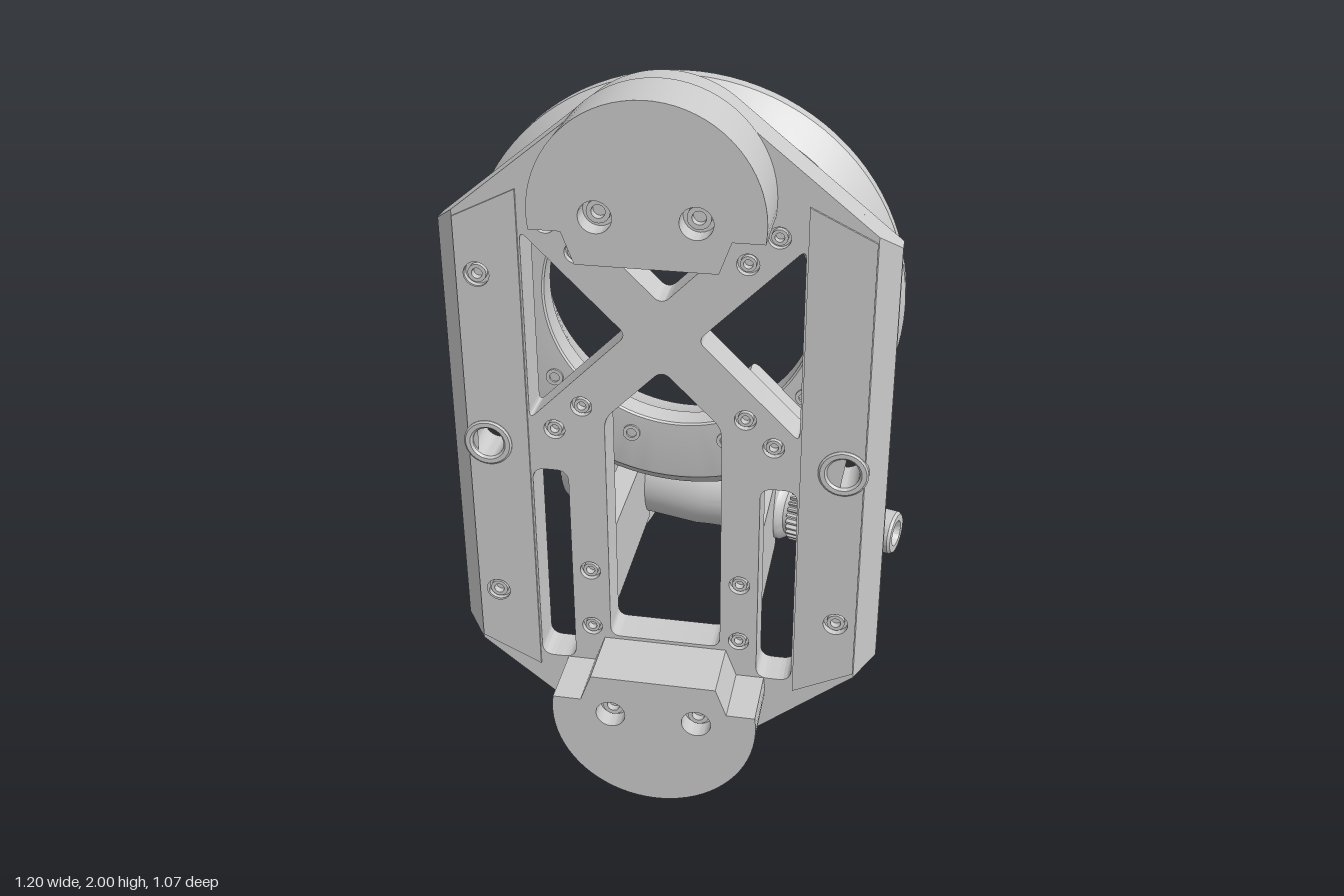
import * as THREE from 'three';
import { toCreasedNormals } from 'three/addons/utils/BufferGeometryUtils.js';

const mat = new THREE.MeshStandardMaterial({ color: 0xcccccc });
const MID = -0.018; // x of the frame's centre line

function add(parent, name, geo, x = 0, y = 0, z = 0) {
  const mesh = new THREE.Mesh(toCreasedNormals(geo, 0.5), mat);
  mesh.name = name;
  mesh.position.set(x, y, z);
  parent.add(mesh);
  return mesh;
}

// Extrude a shape from z0 to z1
function slab(shape, z0, z1) {
  return new THREE.ExtrudeGeometry(shape, { depth: z1 - z0, bevelEnabled: false, curveSegments: 20 }).translate(0, 0, z0);
}

const lathe = (pts, seg = 64) => new THREE.LatheGeometry(pts.map(p => new THREE.Vector2(...p)), seg);

const circle = (x, y, r) => new THREE.Path().absarc(x, y, r, 0, Math.PI * 2, true);

// Closed path with rounded corners
function roundedPath(points, r) {
  const path = new THREE.Path();
  const v = points.map(p => new THREE.Vector2(...p));
  v.forEach((p, i) => {
    const toward = q => q.clone().sub(p).setLength(r).add(p);
    const a = toward(v[(i + v.length - 1) % v.length]);
    const b = toward(v[(i + 1) % v.length]);
    if (i) path.lineTo(a.x, a.y); else path.moveTo(a.x, a.y);
    path.quadraticCurveTo(p.x, p.y, b.x, b.y);
  });
  path.closePath();
  return path;
}

// Socket-head screw whose top lies at z
function screw(parent, x, y, z, r) {
  const g = lathe([[0, -0.06], [r, -0.06], [r, -0.014], [r * 0.72, -0.014], [r * 0.72, 0],
    [r * 0.42, 0], [r * 0.42, -0.02], [0, -0.02]], 24);
  add(parent, 'screw', g.rotateX(Math.PI / 2), x, y, z);
}

const railScrews = [], spokeScrews = [];
for (const s of [-1, 1]) {
  for (const y of [-0.47, 0.48]) railScrews.push([s * 0.467, y]);
  for (const t of [-1, 1]) for (const d of [0.213, 0.287]) spokeScrews.push([s * d, 0.34 + t * d]);
  for (const y of [-0.38, -0.565]) spokeScrews.push([s * 0.205, y]);
}

function plateShape() {
  const a = 0.888, shape = new THREE.Shape();
  shape.moveTo(0.577, -0.6);
  shape.lineTo(0.577, 0.6);
  shape.absarc(0, 0.72, 0.27, a, Math.PI - a);
  shape.lineTo(-0.577, 0.6);
  shape.lineTo(-0.577, -0.6);
  shape.absarc(0, -0.72, 0.27, Math.PI + a, 2 * Math.PI - a);
  // openings between the crossed spokes and the legs
  shape.holes.push(
    roundedPath([[0, 0.43], [0.17, 0.6], [-0.17, 0.6]], 0.03),
    roundedPath([[0, 0.25], [-0.153, 0.097], [-0.153, -0.59], [0.153, -0.59], [0.153, 0.097]], 0.03));
  for (const s of [-1, 1]) {
    shape.holes.push(
      roundedPath([[s * 0.09, 0.34], [s * 0.352, 0.602], [s * 0.352, 0.078]], 0.025),
      roundedPath([[s * 0.352, -0.07], [s * 0.352, -0.68], [s * 0.255, -0.68], [s * 0.255, -0.07]], 0.035),
      circle(s * 0.467, 0, 0.05));
  }
  for (const [x, y] of railScrews) shape.holes.push(circle(x, y, 0.033));
  for (const [x, y] of spokeScrews) shape.holes.push(circle(x, y, 0.028));
  return shape;
}

function buildFrame(frame) {
  add(frame, 'backPlate', slab(plateShape(), 0.26, 0.305));
  // front layer, with its long sides drawn in to a chamfer
  const front = slab(plateShape(), 0.305, 0.36);
  const p = front.attributes.position;
  for (let i = 0; i < p.count; i++) {
    if (p.getZ(i) > 0.35 && Math.abs(p.getX(i)) > 0.57) {
      p.setX(i, Math.sign(p.getX(i)) * 0.522);
      p.setY(i, Math.sign(p.getY(i)) * 0.645);
    }
  }
  add(frame, 'frontPlate', front);

  for (const s of [-1, 1]) {
    // side rail
    const rail = new THREE.Shape([[0.357, -0.71], [0.52, -0.63], [0.52, 0.63], [0.357, 0.71]]
      .map(([x, y]) => new THREE.Vector2(s * x, y)));
    rail.holes.push(circle(s * 0.467, 0, 0.05));
    for (const [x, y] of railScrews) if (x * s > 0) rail.holes.push(circle(x, y, 0.033));
    add(frame, 'rail', slab(rail, 0.345, 0.366));
    // guide bushing
    const bush = lathe([[0.042, 0.258], [0.05, 0.258], [0.05, 0.34], [0.065, 0.34], [0.065, 0.368],
      [0.06, 0.372], [0.048, 0.372], [0.042, 0.366], [0.042, 0.258]], 32);
    add(frame, 'bushing', bush.rotateX(Math.PI / 2), s * 0.467, 0, 0);
  }
  for (const [x, y] of railScrews) screw(frame, x, y, 0.36, 0.033);
  for (const [x, y] of spokeScrews) screw(frame, x, y, 0.357, 0.028);

  // half-round end blocks, top and bottom
  const block = new THREE.Shape();
  const a = Math.asin(-0.04 / 0.28);
  block.absarc(0, 0.72, 0.28, a, Math.PI - a);
  for (const [x, y] of [[-0.2, 0.68], [-0.17, 0.6], [0.17, 0.6], [0.2, 0.68]]) block.lineTo(x, y);
  for (const x of [-0.118, 0.118]) block.holes.push(circle(x, 0.72, 0.04));
  for (const turn of [0, Math.PI]) {
    const g = new THREE.Group();
    g.name = 'endBlock';
    g.rotation.z = turn;
    add(g, 'block', slab(block, 0.36, 0.537));
    for (const x of [-0.118, 0.118]) screw(g, x, 0.72, 0.5, 0.04);
    frame.add(g);
  }
}

function buildRing(frame) {
  // bevelled ring with a conical bore
  const ring = lathe([[0.415, -0.045], [0.575, 0.022], [0.585, 0.032], [0.585, 0.072], [0.575, 0.085],
    [0.528, 0.143], [0.52, 0.145], [0.365, 0.145], [0.36, 0.14], [0.36, 0.075], [0.37, 0.06],
    [0.4, -0.04], [0.415, -0.045]], 96);
  add(frame, 'ring', ring.rotateX(Math.PI / 2), 0, 0.34, 0);
  for (let k = 0; k < 10; k++) {
    const t = Math.PI * (k + 0.5) / 5 + Math.PI / 2;
    screw(frame, Math.cos(t + Math.PI / 5) * 0.42, 0.34 + Math.sin(t + Math.PI / 5) * 0.42, 0.151, 0.033);
  }
  // standoffs on the spokes, rounded at the inner corner
  const side = new THREE.Shape();
  side.moveTo(-0.1, 0.262);
  side.lineTo(-0.1, 0.175);
  side.quadraticCurveTo(-0.1, 0.14, -0.065, 0.14);
  side.lineTo(0.1, 0.14);
  side.lineTo(0.1, 0.262);
  for (let k = 0; k < 4; k++) {
    const t = Math.PI / 4 + k * Math.PI / 2;
    const geo = slab(side, -0.036, 0.036).rotateX(Math.PI / 2).scale(1, 1, 1);
    add(frame, 'standoff', geo, Math.cos(t) * 0.35, 0.34 + Math.sin(t) * 0.35, 0).rotation.z = t;
  }
}

function buildPinion(root) {
  const g = new THREE.Group();
  g.name = 'pinion';
  g.position.set(-0.213, 0.53, -0.335);
  g.quaternion.setFromUnitVectors(new THREE.Vector3(0, 1, 0), new THREE.Vector3(0.962, 0, 0.272).normalize());
  // conical head with a centre hole
  add(g, 'pinionHead', lathe([[0, -0.18], [0.03, -0.2], [0.035, -0.235], [0.128, -0.235], [0.138, -0.226],
    [0.205, -0.012], [0.206, -0.004], [0.2, 0], [0.13, 0.004], [0, 0.004]]));
  // stepped shaft
  add(g, 'pinionShaft', lathe([[0, 0], [0.135, 0], [0.135, 0.02], [0.12, 0.03], [0.118, 0.21], [0.112, 0.25],
    [0.106, 0.31], [0.103, 0.48], [0.097, 0.49], [0.082, 0.5], [0.082, 0.712], [0.066, 0.72], [0.062, 0.73],
    [0.064, 0.74], [0.064, 0.82], [0.058, 0.828], [0.038, 0.828], [0.025, 0.795], [0, 0.795]]));
  // splines
  const teeth = 30, pts = [];
  for (let i = 0; i < teeth * 4; i++) {
    const r = i % 4 < 2 ? 0.097 : 0.085, t = i / (teeth * 4) * Math.PI * 2;
    pts.push(new THREE.Vector2(Math.cos(t) * r, Math.sin(t) * r));
  }
  add(g, 'spline', slab(new THREE.Shape(pts), -0.705, -0.515).rotateX(Math.PI / 2));
  root.add(g);
}

export function createModel() {
  const root = new THREE.Group();
  root.name = 'gearFixture';
  const frame = new THREE.Group();
  frame.name = 'frame';
  frame.position.set(MID, 1, 0);
  root.add(frame);
  buildFrame(frame);
  buildRing(frame);
  // brackets carrying the shaft
  for (const [x, back] of [[-0.205, -0.27], [0.205, -0.18]]) {
    add(frame, 'shaftBracket', new THREE.BoxGeometry(0.066, 0.256, 0.262 - back), x, -0.47, (0.262 + back) / 2);
  }
  buildPinion(root);
  return root;
}
